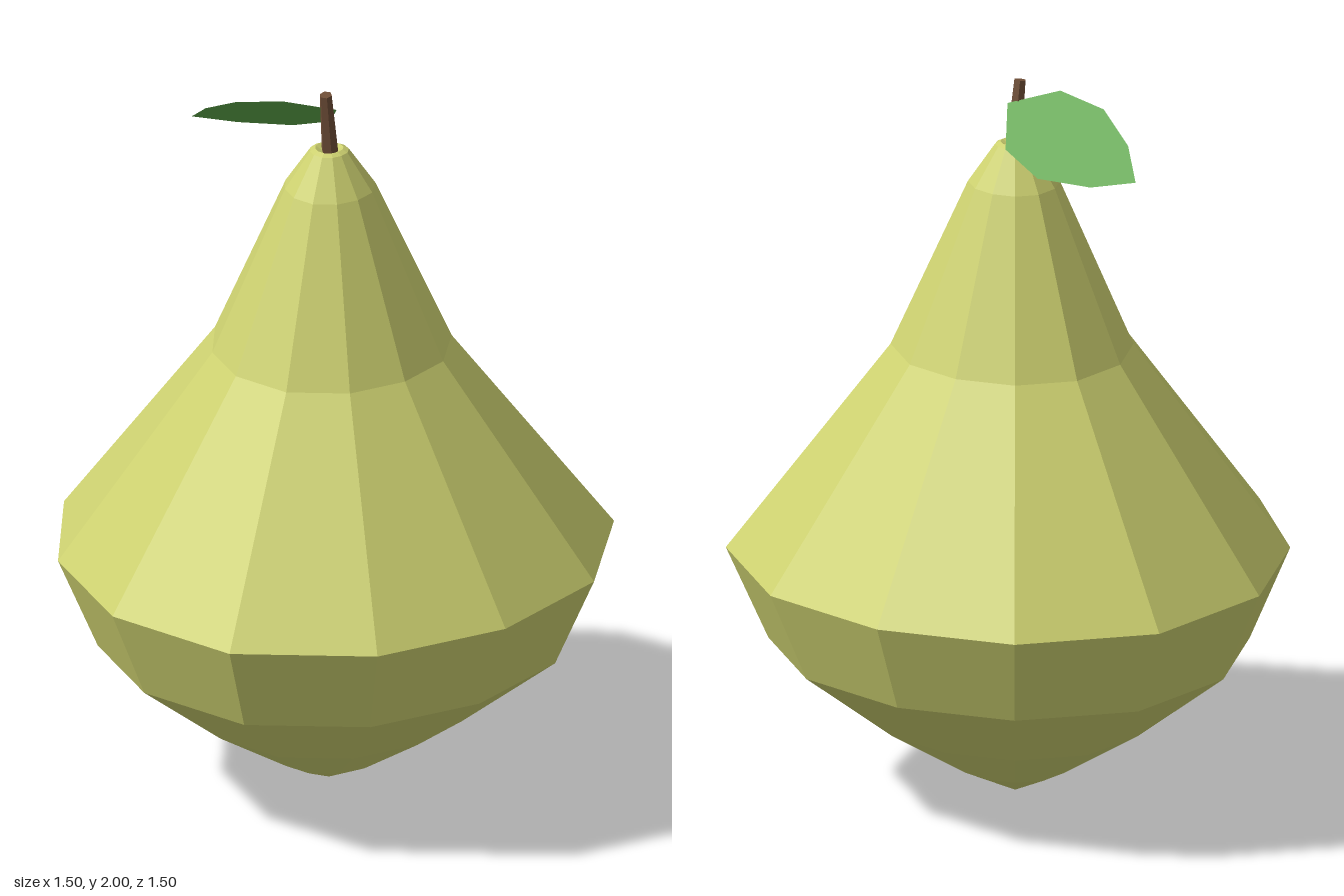
import * as THREE from 'three';

const CENTRE_X = -0.02;

function flat(color, side = THREE.FrontSide) {
  return new THREE.MeshStandardMaterial({ color, flatShading: true, side });
}

// Twelve-sided fruit, turned from a profile and made slightly three-lobed
function makeFruit() {
  const profile = [
    [0, 0], [0.15, 0.075], [0.375, 0.22], [0.638, 0.43], [0.748, 0.685],
    [0.322, 1.26], [0.122, 1.72], [0.052, 1.825], [0.038, 1.832], [0, 1.81],
  ].map(([r, y]) => new THREE.Vector2(r, y));
  const geometry = new THREE.LatheGeometry(profile, 12);
  const p = geometry.attributes.position;
  for (let i = 0; i < p.count; i++) {
    const x = p.getX(i), z = p.getZ(i);
    const lobe = 1 + 0.025 * Math.cos(3 * Math.atan2(z, x));
    p.setX(i, x * lobe);
    p.setZ(i, z * lobe);
  }
  geometry.computeVertexNormals();
  const fruit = new THREE.Mesh(geometry, flat(0xcdd170));
  fruit.name = 'fruit';
  fruit.position.x = CENTRE_X;
  return fruit;
}

// Short tapered stem, leaning forward and to one side
function makeStem() {
  const base = new THREE.Vector3(-0.015, 1.80, -0.005);
  const tip = new THREE.Vector3(-0.033, 1.997, 0.024);
  const axis = tip.clone().sub(base);
  const stem = new THREE.Mesh(
    new THREE.CylinderGeometry(0.017, 0.024, axis.length(), 6),
    flat(0x6f4e37)
  );
  stem.name = 'stem';
  stem.position.copy(base).add(tip).multiplyScalar(0.5);
  stem.quaternion.setFromUnitVectors(new THREE.Vector3(0, 1, 0), axis.normalize());
  return stem;
}

// Thin leaf: plan outline (x, -z) laid onto a sloping plane
function makeLeaf() {
  const outline = [
    [0, 0], [0.005, 0.12], [-0.08, 0.215], [-0.22, 0.27],
    [-0.34, 0.285], [-0.32, 0.185], [-0.255, 0.075], [-0.14, 0],
  ].map(([x, y]) => new THREE.Vector2(x, y));
  const geometry = new THREE.ShapeGeometry(new THREE.Shape(outline));
  const p = geometry.attributes.position;
  for (let i = 0; i < p.count; i++) {
    const x = p.getX(i), z = -p.getY(i);
    p.setXYZ(i, x, 1.94 - 0.25 * x + 0.72 * z, z);
  }
  geometry.computeVertexNormals();
  const leaf = new THREE.Mesh(geometry, flat(0x5fa84a, THREE.DoubleSide));
  leaf.name = 'leaf';
  return leaf;
}

export function createModel() {
  const model = new THREE.Group();
  model.name = 'pear';
  model.add(makeFruit(), makeStem(), makeLeaf());
  return model;
}
